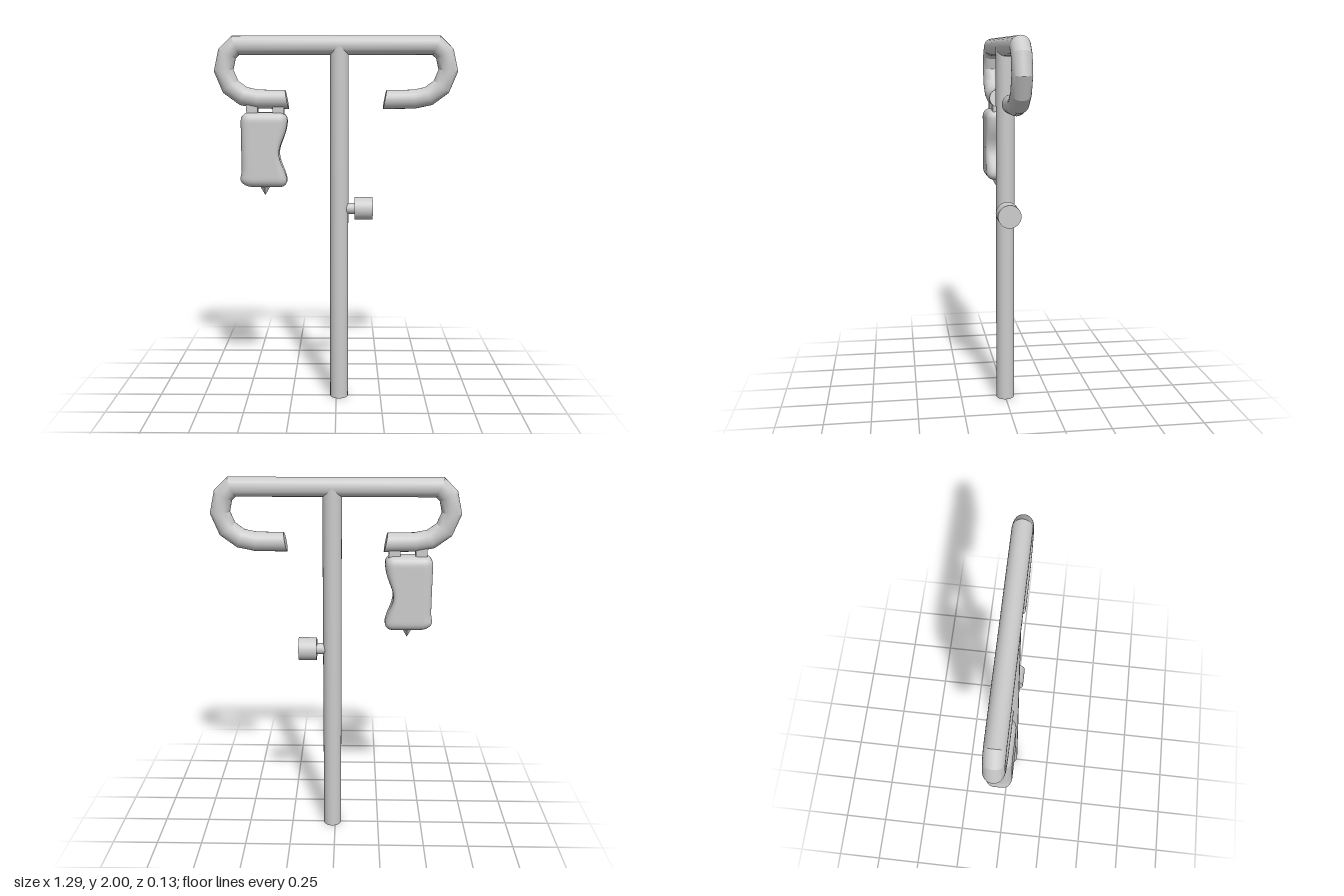
import * as THREE from 'three';
import { mergeVertices, toCreasedNormals } from 'three/addons/utils/BufferGeometryUtils.js';

const material = new THREE.MeshStandardMaterial({ color: 0xcccccc });

function add(parent, name, geometry, x = 0, y = 0, z = 0) {
  const mesh = new THREE.Mesh(geometry, material);
  mesh.name = name;
  mesh.position.set(x, y, z);
  parent.add(mesh);
  return mesh;
}

// Round pipe with mitred joints along a polyline in the xy plane, closed at both ends
function mitredPipe(points, radius, sides, endSlant) {
  const pos = [], index = [];
  const last = points.length - 1;
  const direction = (a, b) => b.clone().sub(a).normalize();
  points.forEach((p, i) => {
    const before = direction(points[Math.max(i - 1, 0)], points[Math.max(i, 1)]);
    const after = direction(points[Math.min(i, last - 1)], points[Math.min(i + 1, last)]);
    const t = before.clone().add(after).normalize();
    const stretch = radius / t.dot(after);
    const across = new THREE.Vector2(-t.y, t.x).multiplyScalar(stretch);
    if (i === 0 || i === last) across.x += endSlant * (i === 0 ? 1 : -1);
    for (let j = 0; j < sides; j++) {
      const a = (j / sides) * Math.PI * 2;
      pos.push(p.x + across.x * Math.cos(a), p.y + across.y * Math.cos(a), radius * Math.sin(a));
    }
  });
  for (let i = 0; i < last; i++) {
    for (let j = 0; j < sides; j++) {
      const a = i * sides + j, b = i * sides + (j + 1) % sides;
      index.push(a, b, a + sides, b, b + sides, a + sides);
    }
  }
  for (let j = 1; j < sides - 1; j++) {
    index.push(0, j + 1, j);
    index.push(last * sides, last * sides + j, last * sides + j + 1);
  }
  const g = new THREE.BufferGeometry();
  g.setAttribute('position', new THREE.Float32BufferAttribute(pos, 3));
  g.setIndex(index);
  return toCreasedNormals(g, 0.42);
}

// Soft pouch: rounded box, pinched on its +x side and pulled down at one lower corner
function pouchGeometry(w, h, d, r) {
  const box = new THREE.BoxGeometry(w, h, d, 20, 28, 12);
  box.deleteAttribute('uv');
  box.deleteAttribute('normal');
  const g = mergeVertices(box);
  const pos = g.attributes.position;
  const half = new THREE.Vector3(w / 2 - r, h / 2 - r, d / 2 - r);
  const p = new THREE.Vector3(), inner = new THREE.Vector3();
  for (let i = 0; i < pos.count; i++) {
    p.fromBufferAttribute(pos, i);
    inner.copy(p).clamp(half.clone().negate(), half);
    p.sub(inner).setLength(r).add(inner);
    // Pinch, deepest midway between front and back
    const side = THREE.MathUtils.smoothstep(p.x, 0, w / 2);
    const level = Math.exp(-(((p.y + 0.02) / 0.1) ** 2));
    const middle = 1 - (p.z / (d / 2)) ** 2;
    p.x -= side * level * (0.032 + 0.02 * middle);
    // Lower -x corner spreads out
    const corner = THREE.MathUtils.smoothstep(-p.x, w / 4, w / 2) * THREE.MathUtils.smoothstep(-p.y, h / 4, h / 2);
    p.x -= corner * 0.012;
    p.y += corner * 0.01;
    pos.setXYZ(i, p.x, p.y, p.z);
  }
  g.computeVertexNormals();
  return g;
}

export function createModel() {
  const model = new THREE.Group();
  model.name = 'dripStand';

  // Upright pole
  add(model, 'pole', new THREE.CylinderGeometry(0.05, 0.05, 1.95, 24), 0.016, 0.975);

  // Crossbar with a hook curling under at each end
  const hook = [
    [0.26, 1.668], [0.415, 1.67], [0.493, 1.686], [0.56, 1.735],
    [0.595, 1.82], [0.575, 1.907], [0.53, 1.95],
  ];
  const right = hook.map(([x, y]) => new THREE.Vector2(x, y));
  const left = hook.map(([x, y]) => new THREE.Vector2(-x, y)).reverse();
  add(model, 'crossbarWithHooks', mitredPipe([...right, ...left], 0.05, 24, 0.01), -0.002);

  // Side knob on a short stem
  const knob = new THREE.Group();
  knob.name = 'knob';
  knob.position.set(0, 1.08, 0);
  model.add(knob);
  add(knob, 'knobStem', new THREE.CylinderGeometry(0.03, 0.03, 0.08, 20), 0.07).rotation.z = Math.PI / 2;
  add(knob, 'knobHead', new THREE.CylinderGeometry(0.062, 0.062, 0.098, 28), 0.149).rotation.z = Math.PI / 2;

  // Hanging bag: two straps, soft pouch and pointed outlet
  const bag = new THREE.Group();
  bag.name = 'bag';
  bag.position.set(-0.384, 1.4, 0);
  model.add(bag);
  add(bag, 'pouch', pouchGeometry(0.252, 0.4, 0.134, 0.045));
  for (const x of [-0.064, 0.076]) {
    add(bag, 'strap', new THREE.BoxGeometry(0.06, 0.09, 0.06), x, 0.215);
  }
  const outlet = new THREE.ConeGeometry(0.046, 0.08, 4).toNonIndexed();
  outlet.computeVertexNormals();
  add(bag, 'outlet', outlet, -0.002, -0.207).rotation.x = Math.PI;

  return model;
}
